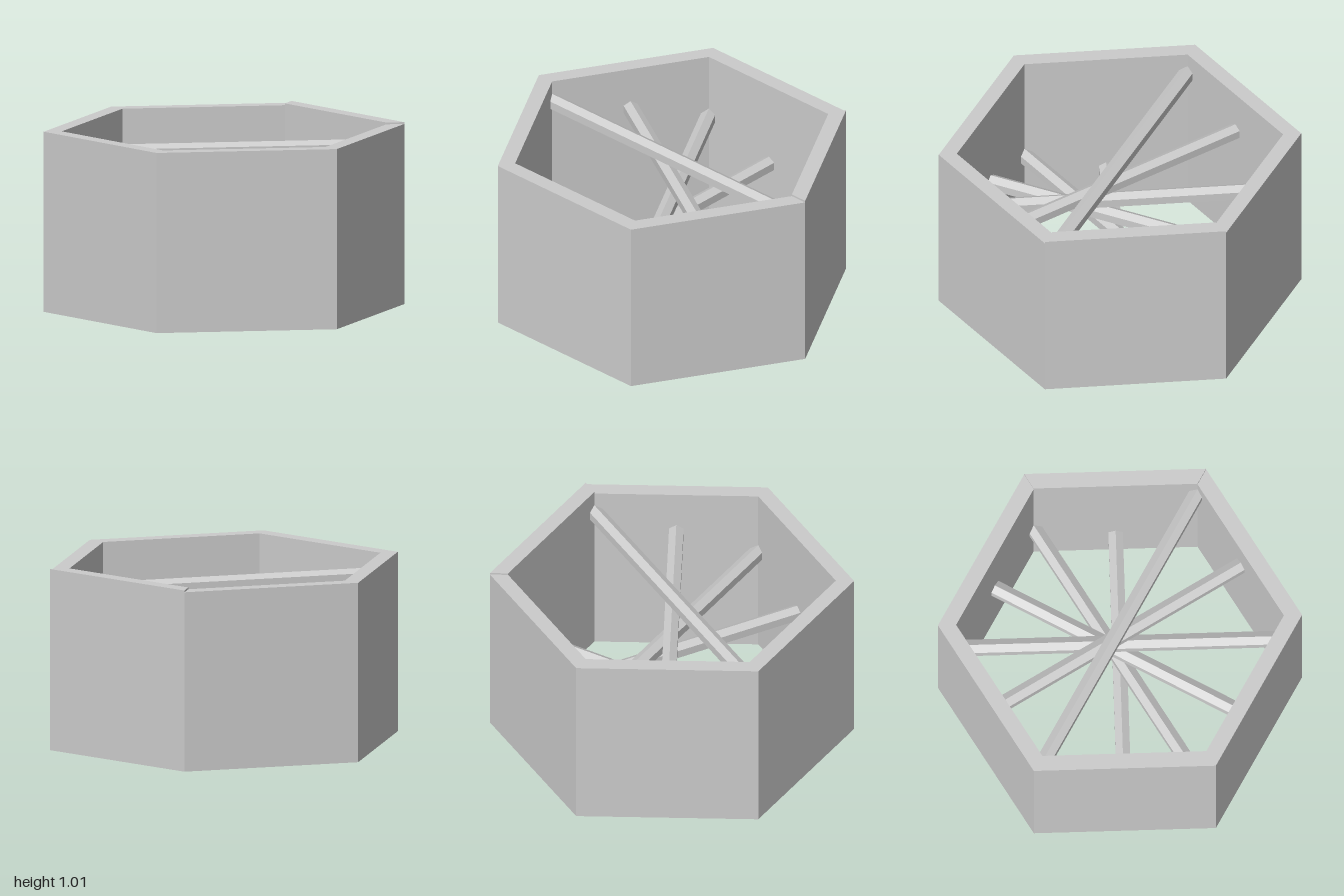
import * as THREE from 'three';

const OUTER = 1, INNER = 0.9, HEIGHT = 1;
const material = new THREE.MeshStandardMaterial({ color: 0xcccccc, flatShading: true });

// Upright wall running around the hexagon from corner `first` to corner `last`
function wall(name, first, last, height) {
  const points = [];
  const corner = (k, r) =>
    points.push(new THREE.Vector2(r * Math.cos(k * Math.PI / 3), r * Math.sin(k * Math.PI / 3)));
  for (let k = first; k <= last; k++) corner(k, OUTER);
  for (let k = last; k >= first; k--) corner(k, INNER);
  const geometry = new THREE.ExtrudeGeometry(new THREE.Shape(points), { depth: height, bevelEnabled: false });
  geometry.rotateX(-Math.PI / 2);
  const mesh = new THREE.Mesh(geometry, material);
  mesh.name = name;
  return mesh;
}

// Six-sided bar lying along x with a ridge on top
function bar(length) {
  const geometry = new THREE.CylinderGeometry(0.046, 0.046, length, 6);
  geometry.rotateY(Math.PI / 6);
  geometry.rotateZ(Math.PI / 2);
  return new THREE.Mesh(geometry, material);
}

export function createModel() {
  const group = new THREE.Group();
  group.name = 'hexagonalTower';

  // Five joined walls, and a closing panel that stands slightly higher
  group.add(wall('shell', 1, 6, HEIGHT));
  group.add(wall('closingPanel', 0, 1, HEIGHT + 0.01));

  // Crossbars step down like a spiral stair, alternately reaching corners and wall centres
  const bars = new THREE.Group();
  bars.name = 'crossbars';
  for (let i = 0; i < 6; i++) {
    const mesh = bar(i % 2 === 0 ? 1.86 : 1.64);
    mesh.name = 'crossbar' + (i + 1);
    mesh.position.y = 0.875 - 0.125 * i;
    mesh.rotation.y = -i * Math.PI / 6;
    bars.add(mesh);
  }
  group.add(bars);
  return group;
}
